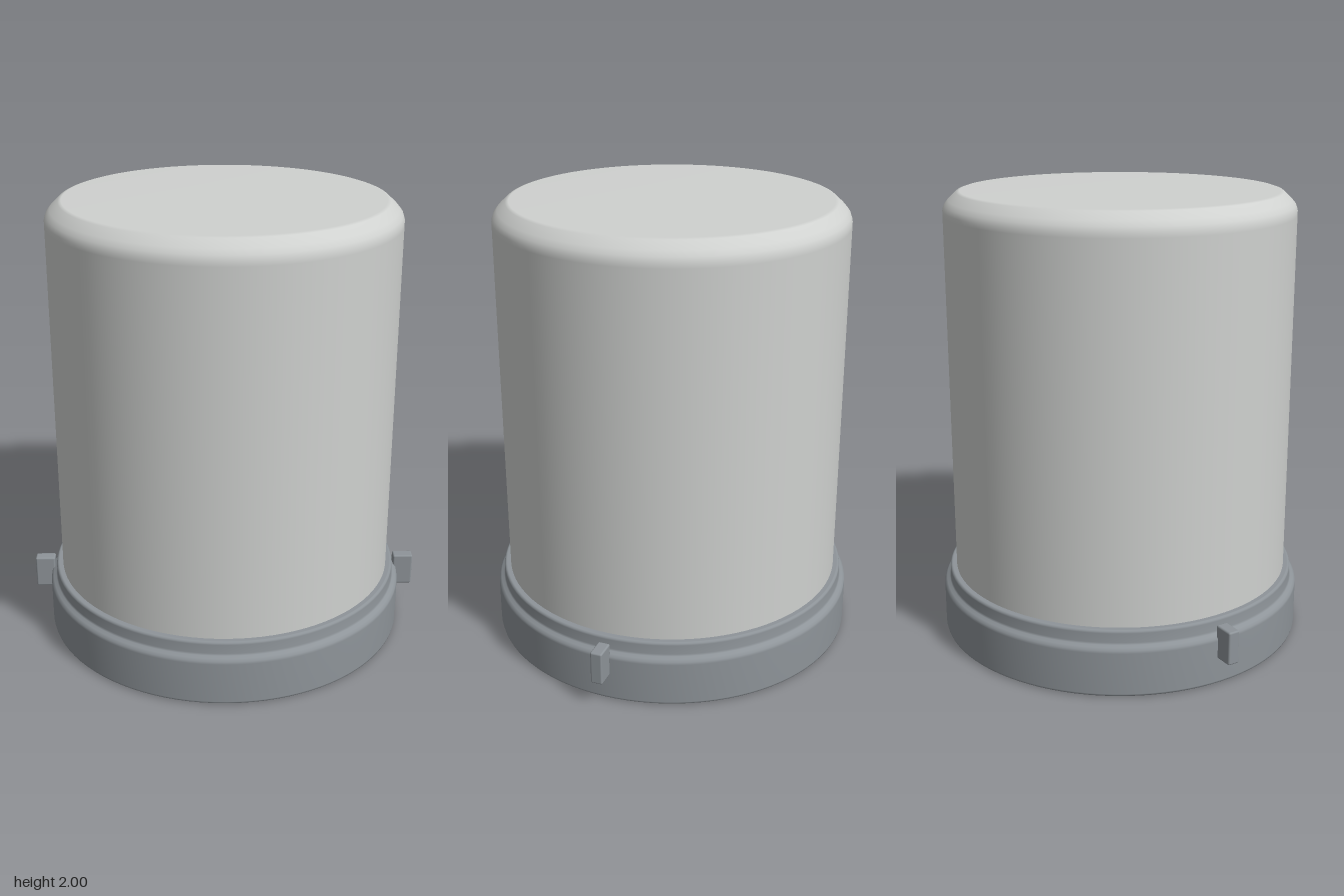
import * as THREE from 'three';
import { RoundedBoxGeometry } from 'three/addons/geometries/RoundedBoxGeometry.js';

// Smooth turned part from [radius, height] pairs, listed from bottom to top
function turned(name, profile, material) {
  const points = profile.map(([r, y]) => new THREE.Vector2(r, y));
  const mesh = new THREE.Mesh(new THREE.LatheGeometry(points, 96), material);
  mesh.name = name;
  return mesh;
}

export function createModel() {
  const shellGray = new THREE.MeshStandardMaterial({ color: 0xcfd1cf });
  shellGray.name = 'shellGray';
  const baseGray = new THREE.MeshStandardMaterial({ color: 0x8e9499 });
  baseGray.name = 'baseGray';

  const model = new THREE.Group();
  model.name = 'canister';

  // Tall cylindrical cover with softened top shoulder
  model.add(turned('cover', [
    [0.765, 0.27], [0.765, 0.3], [0.765, 1.9], [0.765, 1.92], [0.757, 1.943],
    [0.74, 1.963], [0.705, 1.995], [0.69, 2], [0, 2],
  ], shellGray));

  // Wide base with a bevelled foot and a narrower raised collar
  model.add(turned('base', [
    [0, 0], [0.808, 0], [0.814, 0.001], [0.821, 0.006], [0.823, 0.014],
    [0.823, 0.2], [0.821, 0.212], [0.812, 0.222], [0.8, 0.229], [0.795, 0.237],
    [0.795, 0.278], [0.793, 0.286], [0.787, 0.29], [0.782, 0.29], [0.76, 0.29],
  ], baseGray));

  // Locking tabs on both sides
  for (const side of [-1, 1]) {
    const tab = new THREE.Mesh(new RoundedBoxGeometry(0.092, 0.15, 0.054, 2, 0.008), baseGray);
    tab.position.set(side * 0.854, 0.195, 0);
    tab.name = side > 0 ? 'leftTab' : 'rightTab';
    model.add(tab);
  }

  return model;
}
